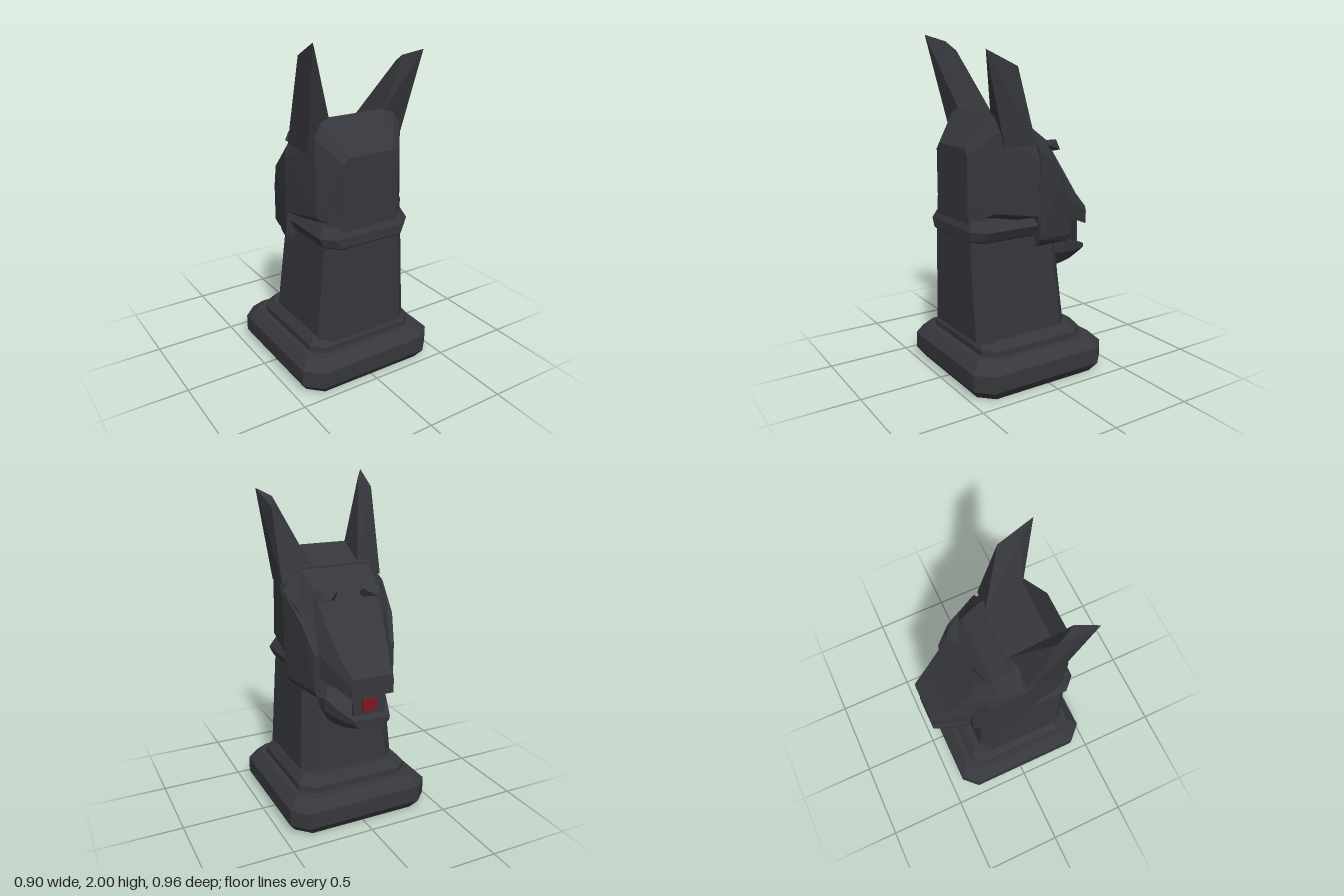
import * as THREE from 'three';
import { ConvexGeometry } from 'three/addons/geometries/ConvexGeometry.js';

const stone = new THREE.MeshStandardMaterial({ color: 0x36373c });
stone.name = 'charcoal stone';
const red = new THREE.MeshStandardMaterial({ color: 0x7c1722 });
red.name = 'dark red';

// Faceted solid through a series of matching rings of [x, y, z] points
function loft(rings) {
  const n = rings[0].length, tris = [];
  for (let i = 0; i < rings.length - 1; i++) {
    for (let j = 0; j < n; j++) {
      const k = (j + 1) % n, a = rings[i], b = rings[i + 1];
      tris.push([a[j], a[k], b[k]], [a[j], b[k], b[j]]);
    }
  }
  const first = rings[0], last = rings[rings.length - 1];
  for (let j = 1; j < n - 1; j++) {
    tris.push([first[0], first[j + 1], first[j]], [last[0], last[j], last[j + 1]]);
  }
  // Turn the faces outward if the rings run the other way round
  const vec = (p) => new THREE.Vector3(...p);
  const volume = tris.reduce((s, [a, b, c]) => s + vec(a).dot(vec(b).cross(vec(c))), 0);
  const points = tris.flatMap((t) => (volume < 0 ? [t[0], t[2], t[1]] : t));
  const geo = new THREE.BufferGeometry();
  geo.setAttribute('position', new THREE.Float32BufferAttribute(points.flat(), 3));
  geo.computeVertexNormals();
  return geo;
}

// Rectangle with cut corners at height y
function cutRect(y, hx, z0, z1, c) {
  return [
    [hx, y, z0 + c], [hx, y, z1 - c], [hx - c, y, z1], [c - hx, y, z1],
    [-hx, y, z1 - c], [-hx, y, z0 + c], [c - hx, y, z0], [hx - c, y, z0],
  ];
}

const tower = (layers) => loft(layers.map((l) => cutRect(...l)));
const convex = (pts) => new ConvexGeometry(pts.map((p) => new THREE.Vector3(...p)));
const mirror = (pts) => pts.flatMap(([x, y, z]) => [[x, y, z], [-x, y, z]]);
const flip = (pts, s) => pts.map(([x, y, z]) => [x * s, y, z]);

export function createModel() {
  const group = new THREE.Group();
  const add = (name, geometry, material = stone) => {
    const mesh = new THREE.Mesh(geometry, material);
    mesh.name = name;
    group.add(mesh);
    return mesh;
  };

  // Stepped plinth
  add('base', tower([
    [0, 0.41, -0.38, 0.44, 0.08],
    [0.055, 0.45, -0.42, 0.48, 0.086],
    [0.155, 0.45, -0.42, 0.48, 0.086],
    [0.215, 0.39, -0.36, 0.42, 0.07],
  ]));
  add('baseStep', tower([
    [0.2, 0.355, -0.31, 0.385, 0.07],
    [0.25, 0.355, -0.31, 0.385, 0.07],
    [0.297, 0.315, -0.27, 0.36, 0.06],
  ]));

  // Tapered neck and collar
  add('neck', tower([
    [0.28, 0.308, -0.225, 0.39, 0.068],
    [0.6, 0.285, -0.195, 0.397, 0.068],
    [0.95, 0.26, -0.16, 0.4, 0.066],
  ]));
  add('collar', tower([
    [0.865, 0.268, -0.16, 0.405, 0.068],
    [0.875, 0.275, -0.165, 0.415, 0.07],
    [0.93, 0.302, -0.17, 0.415, 0.075],
    [1.0, 0.26, -0.15, 0.385, 0.065],
  ]));

  // Back of the head
  add('cranium', convex(mirror([
    [0.18, 0.96, 0.4], [0.18, 1.35, 0.4], [0.15, 1.385, 0.4],
    [0.285, 1.03, 0.29], [0.285, 1.48, 0.27], [0.24, 1.555, 0.26],
    [0.18, 1.58, 0.25], [0.325, 0.985, 0], [0.325, 1.31, 0.02],
    [0.29, 1.41, 0.02], [0.21, 1.495, 0],
  ])));

  // Brow and snout: z, top half-width, top y, side half-width, side y, bottom y
  const snout = [
    [0.02, 0.22, 1.495, 0.325, 1.37, 0.95],
    [-0.11, 0.205, 1.405, 0.285, 1.28, 0.93],
    [-0.26, 0.18, 1.205, 0.225, 1.05, 0.91],
    [-0.38, 0.152, 1.05, 0.175, 0.97, 0.885],
    [-0.48, 0.12, 0.955, 0.13, 0.925, 0.845],
  ];
  add('snout', loft(snout.map(([z, t, ty, s, sy, by]) => [
    [t, ty, z], [s, sy, z], [s, by, z], [-s, by, z], [-s, sy, z], [-t, ty, z],
  ])));

  // Lower jaw: z, half-width, top y, bottom y
  const jaw = [
    [-0.12, 0.2, 0.82, 0.62], [-0.26, 0.195, 0.785, 0.622],
    [-0.37, 0.155, 0.74, 0.632], [-0.48, 0.11, 0.71, 0.662],
  ];
  add('lowerJaw', loft(jaw.map(([z, w, ty, by]) => [
    [w, ty, z], [w, (ty + by) / 2, z], [w * 0.75, by, z],
    [-w * 0.75, by, z], [-w, (ty + by) / 2, z], [-w, ty, z],
  ])));

  // Plate held in the mouth with its red inlay
  add('mouthPlate', new THREE.BoxGeometry(0.2, 0.15, 0.014)).position.set(0, 0.795, -0.43);
  add('mouthInlay', new THREE.BoxGeometry(0.09, 0.075, 0.012), red).position.set(0, 0.78, -0.443);

  for (const [side, s] of [['left', 1], ['right', -1]]) {
    // Cheek plate
    add(side + 'Cheek', convex(flip([
      [0.325, 1.36, 0.01], [0.325, 0.85, 0.01], [0.29, 0.805, 0.01], [0.2, 0.805, 0.01],
      [0.2, 1.36, 0.01], [0.29, 1.21, -0.17], [0.2, 1.21, -0.17],
      [0.255, 1.05, -0.26], [0.255, 0.83, -0.26], [0.235, 0.79, -0.26],
      [0.18, 0.79, -0.26], [0.18, 1.05, -0.26],
    ], s)));

    // Small post at the nape corner
    add(side + 'NapePost', convex(flip([0.9, 1.065].flatMap((y) => [
      [0.185, y, 0.4], [0.25, y, 0.34], [0.25, y, 0.28], [0.21, y, 0.26], [0.15, y, 0.36],
    ]), s)));

    // Brow wing
    add(side + 'Brow', convex(flip([
      [0.07, 1.36, -0.165], [0.08, 1.385, -0.19], [0.145, 1.35, -0.238],
      [0.195, 1.34, -0.22], [0.18, 1.4, -0.2], [0.25, 1.375, -0.11],
      [0.19, 1.335, -0.165], [0.09, 1.33, -0.17],
    ], s)));

    // Ear, the right one slightly taller
    const tip = s > 0
      ? [[0.345, 1.913, 0.375], [0.28, 1.873, 0.275], [0.325, 1.825, 0.165]]
      : [[0.352, 2, 0.375], [0.285, 1.963, 0.275], [0.325, 1.91, 0.18]];
    add(side + 'Ear', convex(flip([
      ...tip, [0.15, 1.5, 0.012], [0.32, 1.4, 0.04],
      [0.305, 1.39, 0.235], [0.18, 1.57, 0.25],
    ], s)));
  }
  return group;
}
